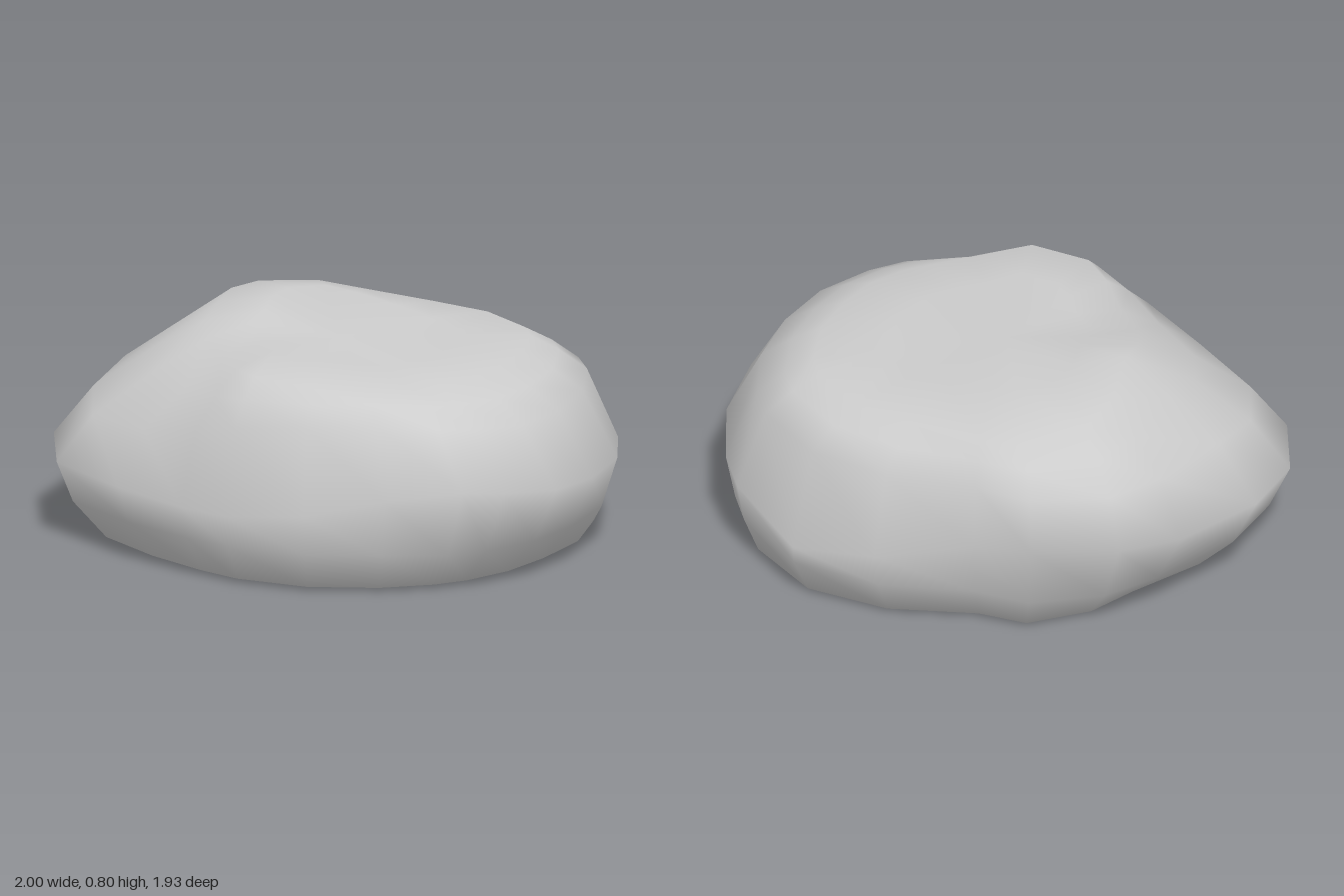
import * as THREE from 'three';
import { mergeVertices } from 'three/addons/utils/BufferGeometryUtils.js';

// Widest outline of the boulder seen from above, as x, z from +x round through +z
const OUTLINE = [
  [1, 0.05], [0.94, 0.34], [0.8, 0.6], [0.63, 0.8], [0.42, 0.92], [0.26, 0.965], [0, 0.85],
  [-0.28, 0.77], [-0.53, 0.6], [-0.66, 0.46], [-0.84, 0.22], [-1, -0.1], [-0.95, -0.41],
  [-0.78, -0.65], [-0.46, -0.88], [-0.22, -0.97], [0.09, -0.93], [0.27, -0.79],
  [0.6, -0.64], [0.85, -0.42], [0.99, -0.11],
];

// Side profiles by direction in degrees:
// direction, base scale, widest y, upper scale, upper y, shoulder scale, shoulder y, crown y
const PROFILES = [
  [0, 0.92, 0.32, 0.89, 0.58, 0.69, 0.71, 0.72],
  [45, 0.78, 0.34, 0.86, 0.56, 0.62, 0.70, 0.72],
  [75, 0.77, 0.41, 0.80, 0.59, 0.60, 0.69, 0.72],
  [90, 0.88, 0.36, 0.84, 0.60, 0.69, 0.70, 0.73],
  [108, 0.89, 0.30, 0.88, 0.60, 0.77, 0.72, 0.75],
  [135, 0.89, 0.26, 0.92, 0.57, 0.73, 0.73, 0.75],
  [160, 0.85, 0.28, 0.89, 0.49, 0.54, 0.71, 0.75],
  [190, 0.82, 0.30, 0.87, 0.46, 0.46, 0.74, 0.76],
  [222, 0.77, 0.34, 0.85, 0.55, 0.48, 0.80, 0.79],
  [248, 0.71, 0.38, 0.90, 0.58, 0.65, 0.77, 0.80],
  [268, 0.81, 0.44, 0.95, 0.60, 0.77, 0.74, 0.80],
  [290, 0.85, 0.37, 0.93, 0.59, 0.80, 0.72, 0.78],
  [318, 0.91, 0.26, 0.91, 0.58, 0.70, 0.71, 0.75],
  [333, 0.93, 0.21, 0.91, 0.58, 0.70, 0.71, 0.73],
  [360, 0.92, 0.32, 0.89, 0.58, 0.69, 0.71, 0.72],
];

// Blend the two profiles either side of a direction
function profileAt(x, z) {
  const degrees = (THREE.MathUtils.radToDeg(Math.atan2(z, x)) + 360) % 360;
  const i = PROFILES.findIndex((p) => p[0] > degrees);
  const [from, to] = [PROFILES[i - 1], PROFILES[i]];
  const t = (degrees - from[0]) / (to[0] - from[0]);
  return from.map((v, k) => THREE.MathUtils.lerp(v, to[k], t)).slice(1);
}

// One column of points from the middle of the underside up to the middle of the top
function column([x, z]) {
  const [base, wideY, upper, upperY, shoulder, shoulderY, crownY] = profileAt(x, z);
  const low = base + (1 - base) * Math.min(1, 0.2 / wideY);
  return [
    [0, 0], [base * 0.85, 0], [base, 0.015], [low, 0.15], [1, wideY],
    [upper, upperY], [(upper + shoulder) / 2, (upperY + shoulderY) / 2 + 0.01],
    [shoulder, shoulderY], [shoulder * 0.62, crownY], [0, 0.73],
  ].map(([s, y]) => [x * s, y, z * s]);
}

export function createModel() {
  const group = new THREE.Group();
  group.name = 'boulder';

  const columns = OUTLINE.map(column);
  const rows = columns[0].length;
  const index = [];
  for (let i = 0; i < columns.length; i++) {
    for (let k = 0; k < rows - 1; k++) {
      const a = i * rows + k;
      const b = ((i + 1) % columns.length) * rows + k;
      if (k < rows - 2) index.push(a, a + 1, b + 1);
      if (k > 0) index.push(a, b + 1, b);
    }
  }
  let geometry = new THREE.BufferGeometry();
  geometry.setAttribute('position', new THREE.Float32BufferAttribute(columns.flat(2), 3));
  geometry.setIndex(index);
  // Join the middle points so the shading is smooth all round
  geometry = mergeVertices(geometry, 1e-4);
  geometry.computeVertexNormals();

  const stone = new THREE.MeshStandardMaterial({ color: 0xcccccc });
  stone.name = 'grey stone';
  const rock = new THREE.Mesh(geometry, stone);
  rock.name = 'rock';
  group.add(rock);
  return group;
}
